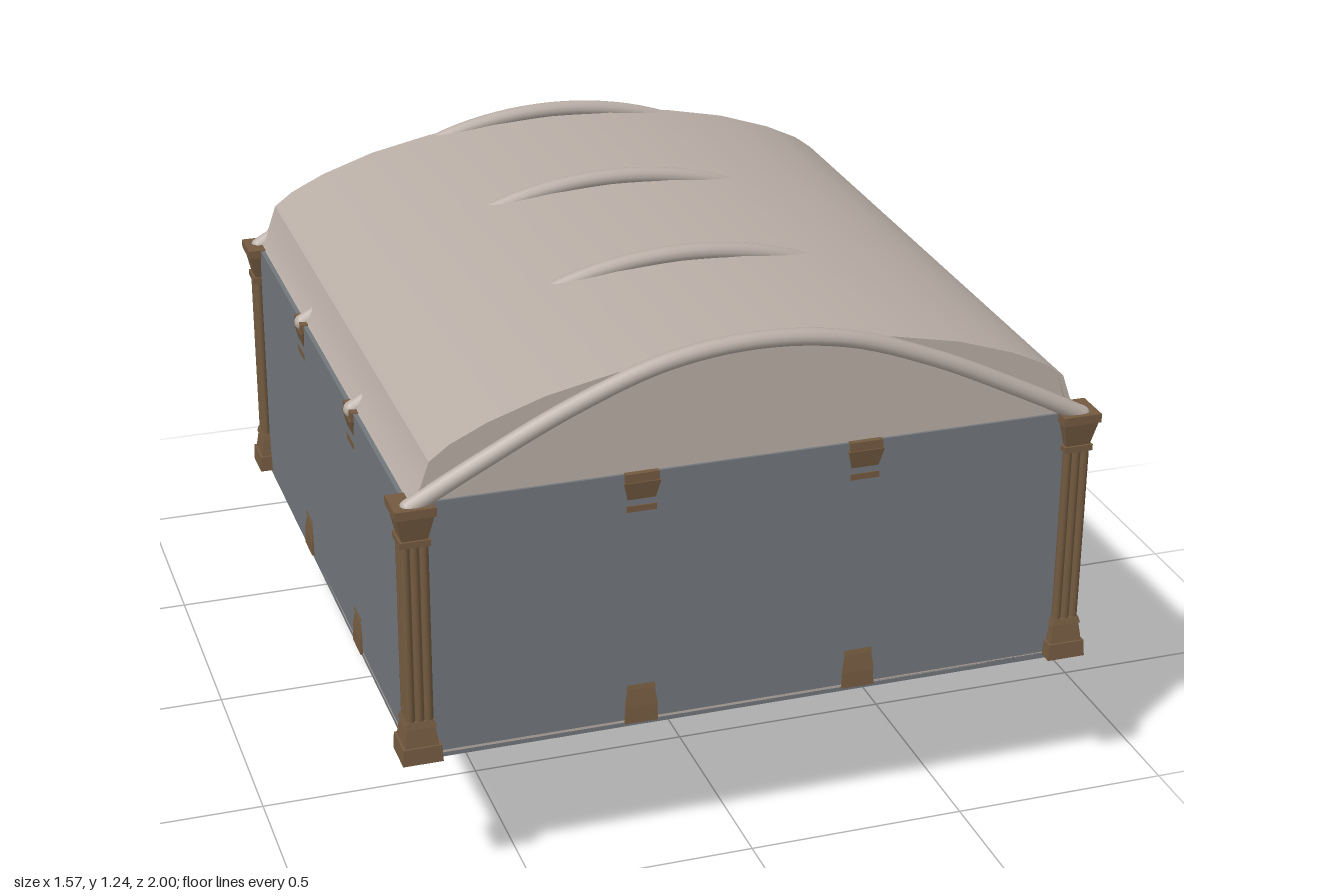
import * as THREE from 'three';
import { toCreasedNormals } from 'three/addons/utils/BufferGeometryUtils.js';

const material = (name, color, side = THREE.FrontSide) => {
  const m = new THREE.MeshStandardMaterial({ color, side });
  m.name = name;
  return m;
};

export function createModel() {
  const model = new THREE.Group();
  model.name = 'vaultedHall';
  const slate = material('slateGrey', 0x72777c);
  const plaster = material('warmPlaster', 0xb9aea6);
  const wood = material('brownStone', 0x735a40);
  const black = material('black', 0x080808);

  const add = (name, geometry, mat, parent = model) => {
    const mesh = new THREE.Mesh(geometry, mat);
    mesh.name = name;
    parent.add(mesh);
    return mesh;
  };
  // Box given by its lower and upper bounds on each axis
  const box = (name, mat, [x0, x1], [y0, y1], [z0, z1], parent) => {
    const mesh = add(name, new THREE.BoxGeometry(x1 - x0, y1 - y0, z1 - z0), mat, parent);
    mesh.position.set((x0 + x1) / 2, (y0 + y1) / 2, (z0 + z1) / 2);
    return mesh;
  };
  const rect = (x0, x1, y0, y1) => new THREE.Shape(
    [[x0, y0], [x1, y0], [x1, y1], [x0, y1]].map(p => new THREE.Vector2(...p)));
  // Upright plate with its outline in x and y
  const plate = (name, mat, shape, z, depth) => {
    const g = new THREE.ExtrudeGeometry(shape, { depth, bevelEnabled: false, curveSegments: 16 });
    add(name, toCreasedNormals(g, 0.5), mat).position.z = z;
  };
  // Level slab with its outline in x and z
  const slab = (name, mat, shape, top, depth) => {
    const g = new THREE.ExtrudeGeometry(shape, { depth, bevelEnabled: false });
    add(name, g.rotateX(Math.PI / 2), mat).position.y = top;
  };

  // Floor with a stairwell and the corridor floor
  const floorShape = new THREE.Shape([
    [-0.755, 0.965], [-0.755, -0.555], [-0.195, -0.555], [-0.195, -0.98],
    [0.195, -0.98], [0.195, -0.555], [0.755, -0.555], [0.755, 0.965],
  ].map(p => new THREE.Vector2(...p)));
  floorShape.holes.push(rect(-0.615, -0.3, -0.545, -0.12));
  slab('floorUnderside', slate, floorShape, 0.356, 0.01);
  slab('floorSurface', plaster, floorShape, 0.362, 0.006);

  // Walls: slate outside, plaster lining inside
  const [bottom, top] = [0.35, 0.95];
  plate('frontWall', slate, rect(-0.755, 0.755, bottom, top), 0.955, 0.01);
  plate('frontLining', plaster, rect(-0.74, 0.74, 0.362, top), 0.947, 0.008);
  const backWall = (w, low) => {
    const shape = rect(-w, w, low, top);
    const door = new THREE.Path();
    door.moveTo(-0.155, 0.363);
    door.lineTo(0.155, 0.363);
    door.lineTo(0.155, 0.635);
    door.absarc(0, 0.635, 0.155, 0, Math.PI, false);
    door.lineTo(-0.155, 0.363);
    shape.holes.push(door);
    return shape;
  };
  plate('backWall', slate, backWall(0.755, bottom), -0.555, 0.01);
  plate('backLining', plaster, backWall(0.74, 0.362), -0.545, 0.008);
  for (const s of [-1, 1]) {
    const span = (a, b) => [Math.min(s * a, s * b), Math.max(s * a, s * b)];
    box('sideWall', slate, span(0.745, 0.755), [bottom, top], [-0.545, 0.955]);
    box('sideLining', plaster, span(0.737, 0.745), [0.362, top], [-0.54, 0.95]);
    // Corridor walls and door frame posts
    box('corridorWall', slate, span(0.185, 0.195), [bottom, 0.86], [-0.977, -0.555]);
    box('corridorLining', plaster, span(0.178, 0.185), [0.362, 0.858], [-0.977, -0.555]);
    box('doorFramePost', slate, span(0.21, 0.255), [bottom, 0.865], [-0.575, -0.55]);
  }
  box('doorFrameLintel', slate, [-0.255, 0.255], [0.835, 0.865], [-0.567, -0.55]);
  box('corridorEnd', black, [-0.23, 0.23], [0.352, 0.862], [-1, -0.978]);

  // Vaulted roof shell and its end gables
  const half = [[0.745, 0.95], [0.722, 0.985], [0.703, 1.04], [0.66, 1.072], [0.58, 1.11],
    [0.455, 1.152], [0.307, 1.183], [0.15, 1.2]];
  const outer = [...half, [0, 1.205], ...half.slice().reverse().map(([x, y]) => [-x, y])];
  const vec = p => new THREE.Vector2(...p);
  const inner = outer.map(([x, y]) => [x * 0.985, 0.95 + (y - 0.95) * 0.96]).reverse();
  plate('vaultRoof', plaster, new THREE.Shape([...outer, ...inner].map(vec)), -0.547, 1.51);
  for (const z of [-0.543, 0.951]) {
    plate('gable', plaster, new THREE.Shape(inner.map(vec)), z, 0.008);
  }

  // Arched ribs
  const ribHalf = [[0.75, 0.945], [0.6, 1.025], [0.4, 1.123], [0.2, 1.195]];
  const ribPoints = [...ribHalf.map(([x, y]) => [-x, y]), [0, 1.218], ...ribHalf.slice().reverse()];
  const ribCurve = new THREE.CatmullRomCurve3(ribPoints.map(([x, y]) => new THREE.Vector3(x, y, 0)));
  for (const z of [-0.54, -0.037, 0.466, 0.968]) {
    add('roofRib', new THREE.TubeGeometry(ribCurve, 48, 0.019, 12), plaster).position.z = z;
    for (const s of [-1, 1]) {
      add('ribEnd', new THREE.SphereGeometry(0.019, 12, 8), plaster).position.set(s * 0.75, 0.945, z);
    }
  }

  // Clustered columns with stepped bases and flared capitals
  const squareTier = (parent, name, y0, y1, r0, r1) => {
    const g = new THREE.CylinderGeometry(r1 * Math.SQRT2, r0 * Math.SQRT2, y1 - y0, 4, 1);
    const mesh = add(name, toCreasedNormals(g.rotateY(Math.PI / 4), 0.3), wood, parent);
    mesh.position.y = (y0 + y1) / 2;
  };
  const column = (x, z, name, w = 1) => {
    const c = new THREE.Group();
    c.name = name;
    c.position.set(x, 0, z);
    model.add(c);
    squareTier(c, 'plinth', 0.355, 0.393, 0.044 * w, 0.042 * w);
    squareTier(c, 'baseTaper', 0.393, 0.435, 0.037, 0.031);
    squareTier(c, 'baseCollar', 0.435, 0.45, 0.034, 0.03);
    squareTier(c, 'shaftCore', 0.45, 0.87, 0.022, 0.022);
    for (const sx of [-1, 0, 1]) {
      for (const sz of [-1, 0, 1]) {
        if (!sx && !sz) continue;
        add('shaftReed', new THREE.CylinderGeometry(0.01, 0.01, 0.42, 10), wood, c)
          .position.set(sx * 0.02, 0.66, sz * 0.02);
      }
    }
    squareTier(c, 'neckRing', 0.862, 0.876, 0.033, 0.033);
    squareTier(c, 'capitalFlare', 0.876, 0.932, 0.028, 0.04);
    squareTier(c, 'abacus', 0.932, 0.952, 0.044 * w, 0.044 * w);
  };
  for (const s of [-1, 1]) {
    for (const z of [-0.53, 0.953]) column(s * 0.741, z, 'cornerColumn');
    for (const z of [-0.037, 0.466]) column(s * 0.723, z, 'sideColumn', 0.85);
    column(s * 0.25, 0.934, 'frontColumn', 0.85);
    column(s * 0.25, -0.523, 'backColumn', 0.85);
  }

  // Floating stair treads and the landing plate
  for (let i = 0; i < 9; i++) {
    const y = 0.328 - i * 0.0273;
    const z = -0.105 - i * 0.0454;
    box('stairTread', slate, [-0.602, -0.303], [y - 0.017, y], [z - 0.047, z]);
    box('treadTop', plaster, [-0.602, -0.303], [y, y + 0.003], [z - 0.047, z]);
  }
  box('landingPlate', black, [-0.62, -0.29], [0, 0.009], [-0.585, -0.042]);

  return model;
}
